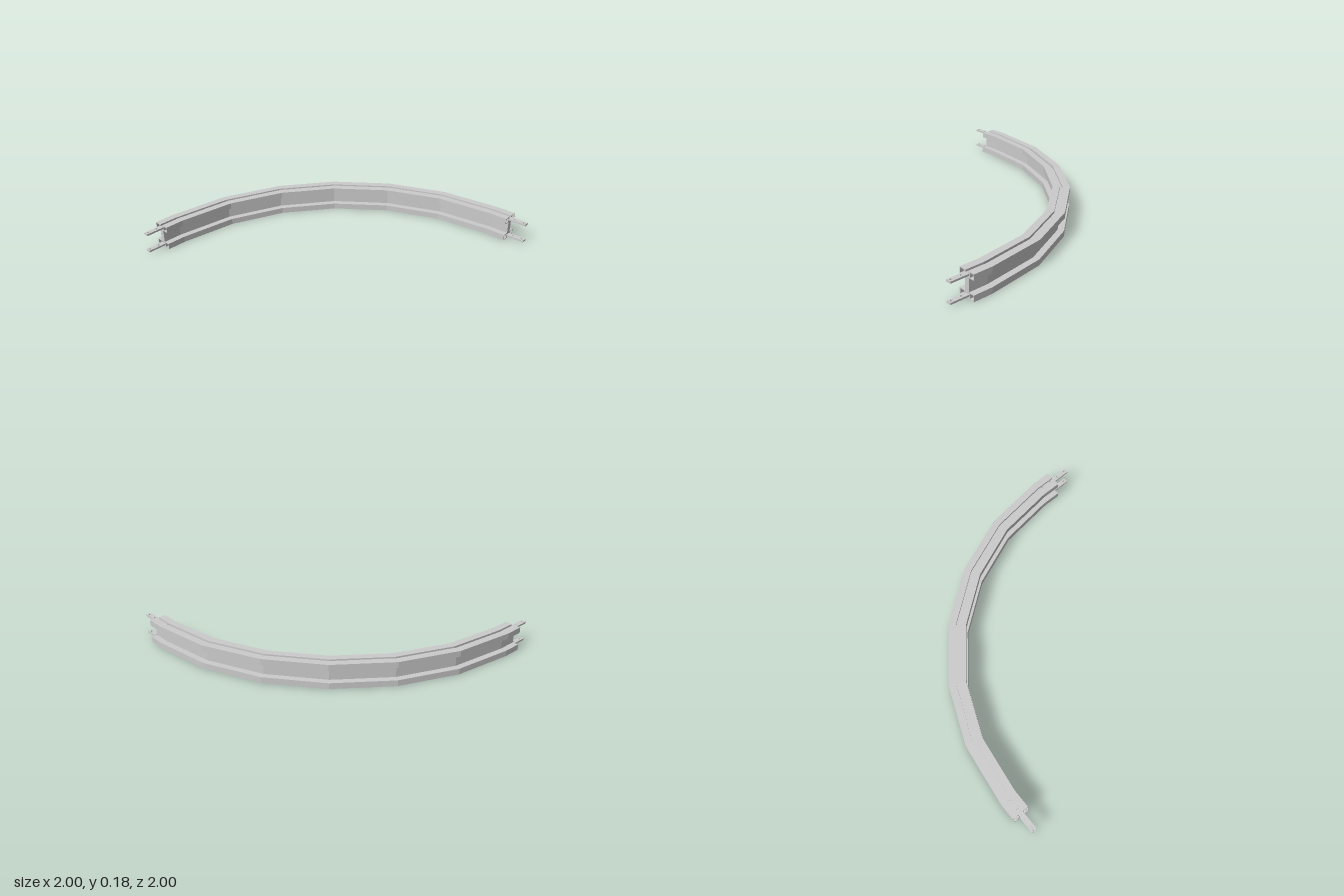
import * as THREE from 'three';
import { mergeGeometries } from 'three/addons/utils/BufferGeometryUtils.js';

const C = 0.725, R = 1.6625, MID = 0.089, END = 0.14;

// Stations along the rail: straight lead-in, six 15 degree bends, straight lead-out
const stations = [{ a: 0, s: -END }];
for (let i = 0; i <= 6; i++) stations.push({ a: i * Math.PI / 12, s: 0 });
stations.push({ a: Math.PI / 2, s: END });

// Section coordinates (u outward, v up) to a point at a station
function place({ a, s }, u, v) {
  const r = R + u;
  return [
    -C + r * Math.sin(a) + s * Math.cos(a),
    MID + v,
    C - r * Math.cos(a) + s * Math.sin(a),
  ];
}

function toGeometry(positions) {
  const g = new THREE.BufferGeometry();
  g.setAttribute('position', new THREE.Float32BufferAttribute(positions, 3));
  g.computeVertexNormals();
  return g;
}

// Walls swept from one closed contour
function sweep(points) {
  const out = [];
  for (let k = 0; k < stations.length - 1; k++) {
    points.forEach((p, i) => {
      const q = points[(i + 1) % points.length];
      const a = place(stations[k], p.x, p.y), b = place(stations[k], q.x, q.y);
      const c = place(stations[k + 1], q.x, q.y), d = place(stations[k + 1], p.x, p.y);
      out.push(...a, ...b, ...c, ...a, ...c, ...d);
    });
  }
  return toGeometry(out);
}

// Flat end face of the section
function cap(shape, station, flip) {
  const g = new THREE.ShapeGeometry(shape).toNonIndexed();
  const p = g.attributes.position, out = [];
  for (let i = 0; i < p.count; i += 3) {
    for (const j of flip ? [0, 2, 1] : [0, 1, 2]) {
      out.push(...place(station, p.getX(i + j), p.getY(i + j)));
    }
  }
  return toGeometry(out);
}

// I-shaped section with a T-slot in the top and bottom flange
function railSection() {
  const quarter = [
    [0.0175, 0.046], [0.0625, 0.046], [0.0625, 0.089], [0.01, 0.089],
    [0.01, 0.075], [0.021, 0.075], [0.021, 0.058],
  ];
  const mirror = (su, sv) => quarter.map(([u, v]) => new THREE.Vector2(u * su, v * sv));
  const outline = [
    ...mirror(1, 1), ...mirror(-1, 1).reverse(),
    ...mirror(-1, -1), ...mirror(1, -1).reverse(),
  ];
  // Hollow chambers either side of each slot
  const chambers = [];
  for (const su of [-1, 1]) for (const sv of [-1, 1]) {
    const pts = [[0.026, 0.051], [0.026, 0.084], [0.0575, 0.084], [0.0575, 0.051]]
      .map(([u, v]) => new THREE.Vector2(u * su, v * sv));
    if (!THREE.ShapeUtils.isClockWise(pts)) pts.reverse();
    chambers.push(pts);
  }
  return { outline, chambers };
}

// Flat joining strip with bolt holes, lying along x
function stripGeometry() {
  const L = 0.13, W = 0.0185;
  const shape = new THREE.Shape([
    new THREE.Vector2(-L, -W), new THREE.Vector2(L, -W),
    new THREE.Vector2(L, W), new THREE.Vector2(-L, W),
  ]);
  for (const x of [-0.11, -0.035, 0.035, 0.11]) {
    shape.holes.push(new THREE.Path().absarc(x, 0, 0.008, 0, Math.PI * 2, true));
  }
  const g = new THREE.ExtrudeGeometry(shape, { depth: 0.013, bevelEnabled: false, curveSegments: 12 });
  return g.translate(0, 0, -0.0065).rotateX(-Math.PI / 2);
}

export function createModel() {
  const group = new THREE.Group();
  group.name = 'curvedRail';
  const material = new THREE.MeshStandardMaterial({ color: 0xcccccc, flatShading: true });

  // Curved rail
  const { outline, chambers } = railSection();
  const shape = new THREE.Shape(outline);
  chambers.forEach((c) => shape.holes.push(new THREE.Path(c)));
  const rail = new THREE.Mesh(mergeGeometries([
    ...[outline, ...chambers].map(sweep),
    cap(shape, stations[0], true),
    cap(shape, stations[stations.length - 1], false),
  ]), material);
  rail.name = 'rail';
  group.add(rail);

  // Joining strips in both slots at both ends
  const strip = stripGeometry();
  for (const [level, v] of [['upper', 0.0675], ['lower', -0.0675]]) {
    const back = new THREE.Mesh(strip, material);
    back.name = level + 'BackStrip';
    back.position.set(-0.87, MID + v, -0.9375);
    const front = new THREE.Mesh(strip, material);
    front.name = level + 'FrontStrip';
    front.position.set(0.9375, MID + v, 0.87);
    front.rotation.y = Math.PI / 2;
    group.add(back, front);
  }
  return group;
}
